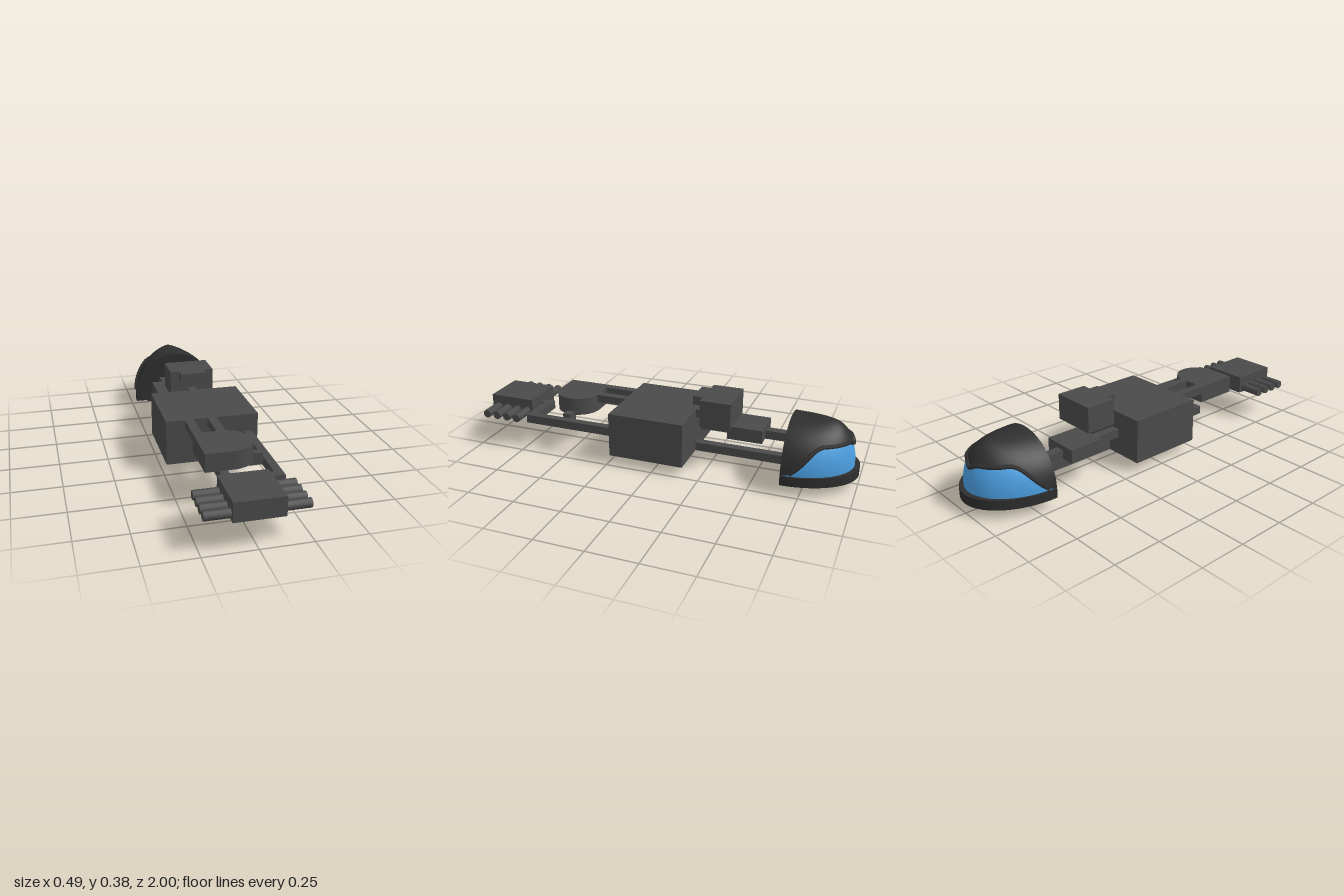
import * as THREE from 'three';
import { ParametricGeometry } from 'three/addons/geometries/ParametricGeometry.js';

const dark = new THREE.MeshStandardMaterial({ color: 0x4a4a4a });
const shellMat = new THREE.MeshStandardMaterial({ color: 0x2e2e2e, side: THREE.DoubleSide });
const blue = new THREE.MeshStandardMaterial({ color: 0x4a9ee0, side: THREE.DoubleSide });

export function createModel() {
  const model = new THREE.Group();
  const add = (name, geometry, material = dark, parent = model) => {
    const mesh = new THREE.Mesh(geometry, material);
    mesh.name = name;
    parent.add(mesh);
    return mesh;
  };
  // Box given by its extents along each axis
  const box = (name, [x0, x1], [y0, y1], [z0, z1]) => {
    const g = new THREE.BoxGeometry(x1 - x0, y1 - y0, z1 - z0);
    add(name, g.translate((x0 + x1) / 2, (y0 + y1) / 2, (z0 + z1) / 2));
  };
  // Floor-plan shape (x, -z) raised from y0 to y1
  const slab = (name, shape, y0, y1, material, parent) => {
    const g = new THREE.ExtrudeGeometry(shape, { depth: y1 - y0, bevelEnabled: false, curveSegments: 20 });
    add(name, g.rotateX(-Math.PI / 2).translate(0, y0, 0), material, parent);
  };
  const halfOval = (halfWidth, depth, start) =>
    new THREE.Shape().absellipse(0, start, halfWidth, depth, 0, Math.PI, false, 0);

  // Main body
  box('body', [-0.235, 0.235], [0.05, 0.282], [-0.16, 0.237]);

  // Connecting rods
  const low = [0.05, 0.095], mid = [0.145, 0.19], high = [0.24, 0.282];
  const centre = [-0.025, 0.02];
  box('lowerFrontRod', centre, low, [0.237, 0.52]);
  box('lowerRearRod', centre, low, [-0.66, -0.16]);
  box('middleRearRod', [-0.095, -0.05], mid, [-0.66, -0.16]);
  box('upperRearRod', centre, high, [-0.21, -0.16]);
  box('upperFrontRodLeft', centre, high, [0.237, 0.41]);
  box('upperFrontRodRight', [-0.14, -0.095], high, [0.237, 0.41]);

  // Bent arm reaching forward to the front chip
  box('bentArmLong', [0.165, 0.205], mid, [0.237, 0.735]);
  box('bentArmCross', [-0.025, 0.165], mid, [0.69, 0.735]);
  box('bentArmStub', centre, mid, [0.735, 0.75]);
  box('gateLead', [0.1, 0.165], [0.15, 0.21], [0.495, 0.535]);

  // Block with one rounded end
  const gate = new THREE.Shape();
  gate.moveTo(-0.14, -0.632);
  gate.lineTo(0, -0.632);
  gate.absarc(0, -0.516, 0.116, -Math.PI / 2, Math.PI / 2, false);
  gate.lineTo(-0.14, -0.4);
  gate.closePath();
  slab('roundedBlock', gate, 0.19, 0.282);

  // Front chip with four pins on each side
  box('chipLower', [-0.117, 0.117], [0.143, 0.19], [0.75, 1]);
  box('chipUpper', [-0.117, 0.117], [0.19, 0.237], [0.75, 1]);
  for (const side of [-1, 1]) {
    for (let i = 0; i < 4; i++) {
      const pin = new THREE.CylinderGeometry(0.022, 0.022, 0.128, 12).rotateZ(Math.PI / 2);
      add('chipPin', pin.translate(side * 0.171, 0.172, 0.784 + i * 0.06));
    }
  }

  // Rear blocks
  box('rearLowBlock', [-0.165, 0.02], [0.145, 0.215], [-0.512, -0.328]);
  box('rearHighBlock', [-0.117, 0.117], [0.24, 0.375], [-0.37, -0.21]);
  box('rearHighTab', [-0.07, 0.07], [0.33, 0.375], [-0.21, -0.16]);

  // Domed head: a half dome with a level ridge on top
  const head = new THREE.Group();
  head.name = 'head';
  model.add(head);
  const domePoint = (theta, phi, scale, target) => target.set(
    0.235 * scale * Math.cos(theta) * Math.cos(phi),
    0.1 + 0.23 * Math.sin(phi),
    -0.655 - scale * Math.sin(theta) * (0.18 + 0.145 * Math.cos(phi)));
  // Height of the visor's upper edge around the dome, with a small dip in the middle
  const edgePhi = (theta) => {
    const rise = THREE.MathUtils.smoothstep(Math.sin(theta), 0.02, 0.62);
    const dip = 0.02 * Math.max(0, 1 - Math.abs(theta - Math.PI / 2) / 0.2);
    return Math.asin((0.14 * rise - dip) / 0.23);
  };
  add('domeShell', new ParametricGeometry((u, v, p) => {
    const t = u * Math.PI;
    domePoint(t, THREE.MathUtils.lerp(edgePhi(t), Math.PI / 2, v), 1, p);
  }, 32, 12), shellMat, head);
  add('visor', new ParametricGeometry((u, v, p) => {
    const t = u * Math.PI;
    domePoint(t, v * edgePhi(t), 0.985, p);
  }, 32, 8), blue, head);
  const rimPoints = [];
  for (let i = 1; i < 24; i++) {
    const t = (i / 24) * Math.PI;
    rimPoints.push(domePoint(t, edgePhi(t), 1, new THREE.Vector3()));
  }
  add('visorRim', new THREE.TubeGeometry(new THREE.CatmullRomCurve3(rimPoints), 64, 0.011, 6), shellMat, head);

  // Flat wall closing the dome
  const wall = new THREE.Shape().absellipse(0, 0.1, 0.235, 0.23, 0, Math.PI, false, 0);
  add('domeWall', new THREE.ShapeGeometry(wall, 24).translate(0, 0, -0.655), shellMat, head);

  // Stepped base under the dome
  slab('baseBand', halfOval(0.237, 0.345, 0.655), 0.05, 0.1, shellMat, head);
  slab('baseStepUpper', halfOval(0.165, 0.23, 0.695), 0.025, 0.05, shellMat, head);
  slab('baseStepLower', halfOval(0.11, 0.15, 0.73), 0, 0.025, shellMat, head);

  return model;
}
